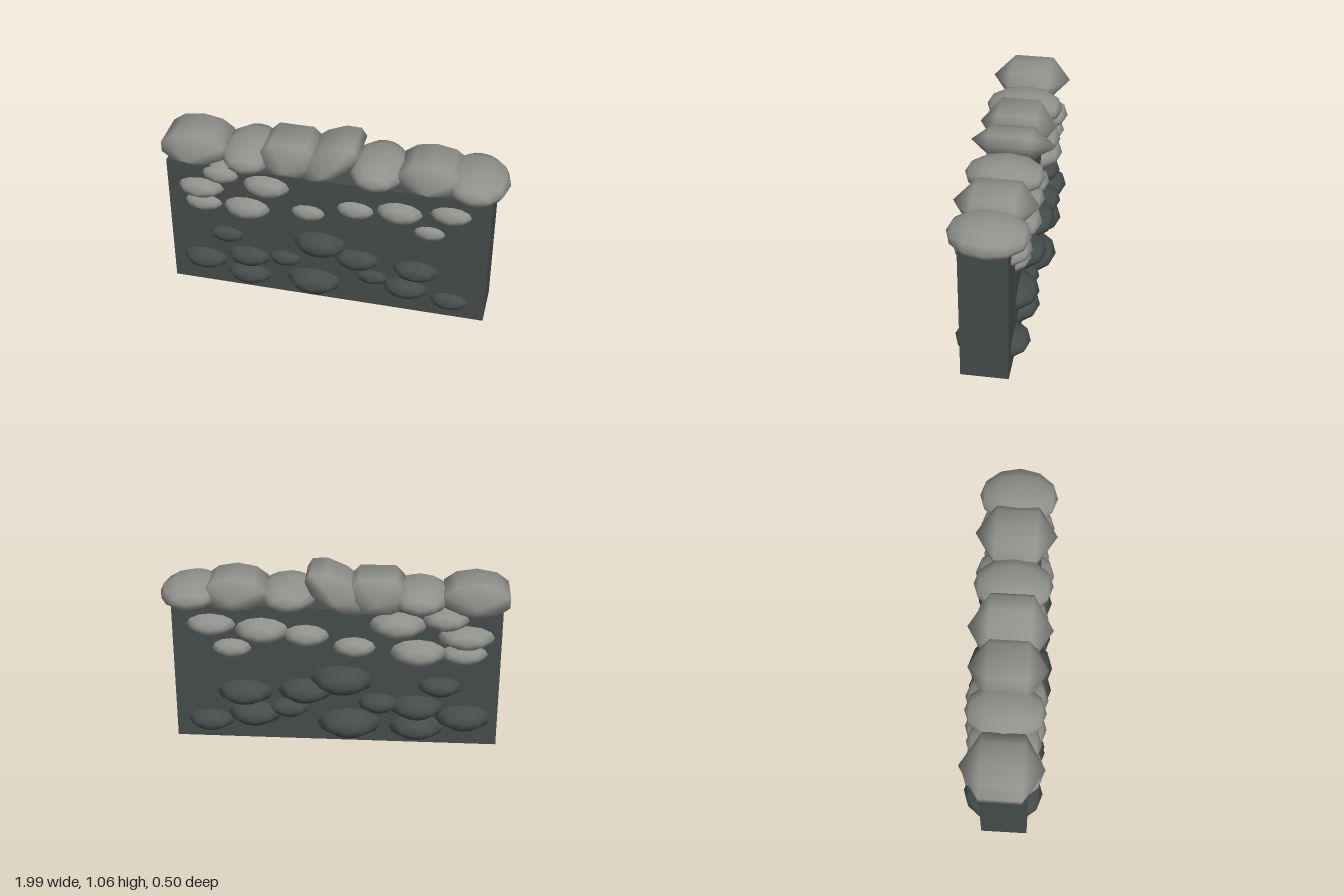
import * as THREE from 'three';

export function createModel() {
  const group = new THREE.Group();
  group.name = 'stoneWall';

  const darkStone = new THREE.MeshStandardMaterial({ color: 0x454c4b });
  darkStone.name = 'dark stone';
  const lightStone = new THREE.MeshStandardMaterial({ color: 0x90918d });
  lightStone.name = 'light stone';

  // Wall core
  const core = new THREE.Mesh(new THREE.BoxGeometry(1.88, 0.85, 0.27), darkStone);
  core.position.set(-0.02, 0.425, 0.015);
  core.name = 'wallCore';
  group.add(core);

  // Squashed low-poly boulders with their poles facing front and back
  const boulder = (sides, rings, spin = 0) =>
    new THREE.SphereGeometry(1, sides, rings).rotateX(Math.PI / 2).rotateZ(spin);
  const roundStone = boulder(12, 6);

  function addStone(name, geometry, material, [x, y, rx, ry, rz], tilt = 0) {
    const stone = new THREE.Mesh(geometry, material);
    stone.position.set(x, y, 0);
    stone.scale.set(rx, ry, rz);
    stone.rotation.z = tilt;
    stone.name = name;
    group.add(stone);
  }

  // Stones set through the wall: x, y, half width and half height on the front face
  function addRow(name, material, stones) {
    stones.forEach(([x, y, w, h], i) => {
      const depth = 0.12 + 0.77 * w;
      const grow = 1 / Math.sqrt(1 - (0.15 / depth) ** 2);
      addStone(name + (i + 1), roundStone, material, [x, y, w * grow, h * grow, depth]);
    });
  }

  addRow('upperStone', lightStone, [
    [-0.64, 0.8, 0.115, 0.06], [-0.76, 0.695, 0.145, 0.065], [-0.37, 0.76, 0.145, 0.075],
    [-0.75, 0.59, 0.12, 0.055], [-0.49, 0.59, 0.145, 0.075], [-0.125, 0.615, 0.105, 0.055],
    [0.15, 0.68, 0.115, 0.06], [0.405, 0.705, 0.14, 0.072], [0.695, 0.735, 0.125, 0.06],
    [0.58, 0.59, 0.095, 0.05],
  ]);

  addRow('lowerStone', darkStone, [
    [-0.62, 0.375, 0.11, 0.055], [-0.055, 0.4, 0.165, 0.085], [-0.49, 0.235, 0.14, 0.07],
    [-0.27, 0.255, 0.105, 0.055], [-0.76, 0.175, 0.145, 0.073], [-0.49, 0.105, 0.145, 0.07],
    [-0.095, 0.12, 0.17, 0.087], [0.16, 0.325, 0.14, 0.072], [0.51, 0.305, 0.145, 0.07],
    [0.255, 0.21, 0.1, 0.052], [0.455, 0.165, 0.14, 0.07], [0.715, 0.115, 0.12, 0.06],
  ]);

  // Cap stones, alternating chunky and rounded
  const chunky = boulder(10, 3, Math.PI / 10);
  const caps = [
    [chunky, [-0.81, 0.915, 0.225, 0.12, 0.235]],
    [roundStone, [-0.49, 0.9, 0.175, 0.092, 0.225]],
    [boulder(6, 3), [-0.25, 0.92, 0.235, 0.145, 0.225]],
    [chunky, [-0.02, 0.935, 0.23, 0.11, 0.24], 0.55],
    [roundStone, [0.255, 0.9, 0.175, 0.092, 0.225]],
    [chunky, [0.56, 0.915, 0.215, 0.12, 0.235]],
    [roundStone, [0.81, 0.897, 0.187, 0.092, 0.225], -0.06],
  ];
  caps.forEach(([geometry, size, tilt], i) =>
    addStone('capStone' + (i + 1), geometry, lightStone, size, tilt));

  return group;
}
